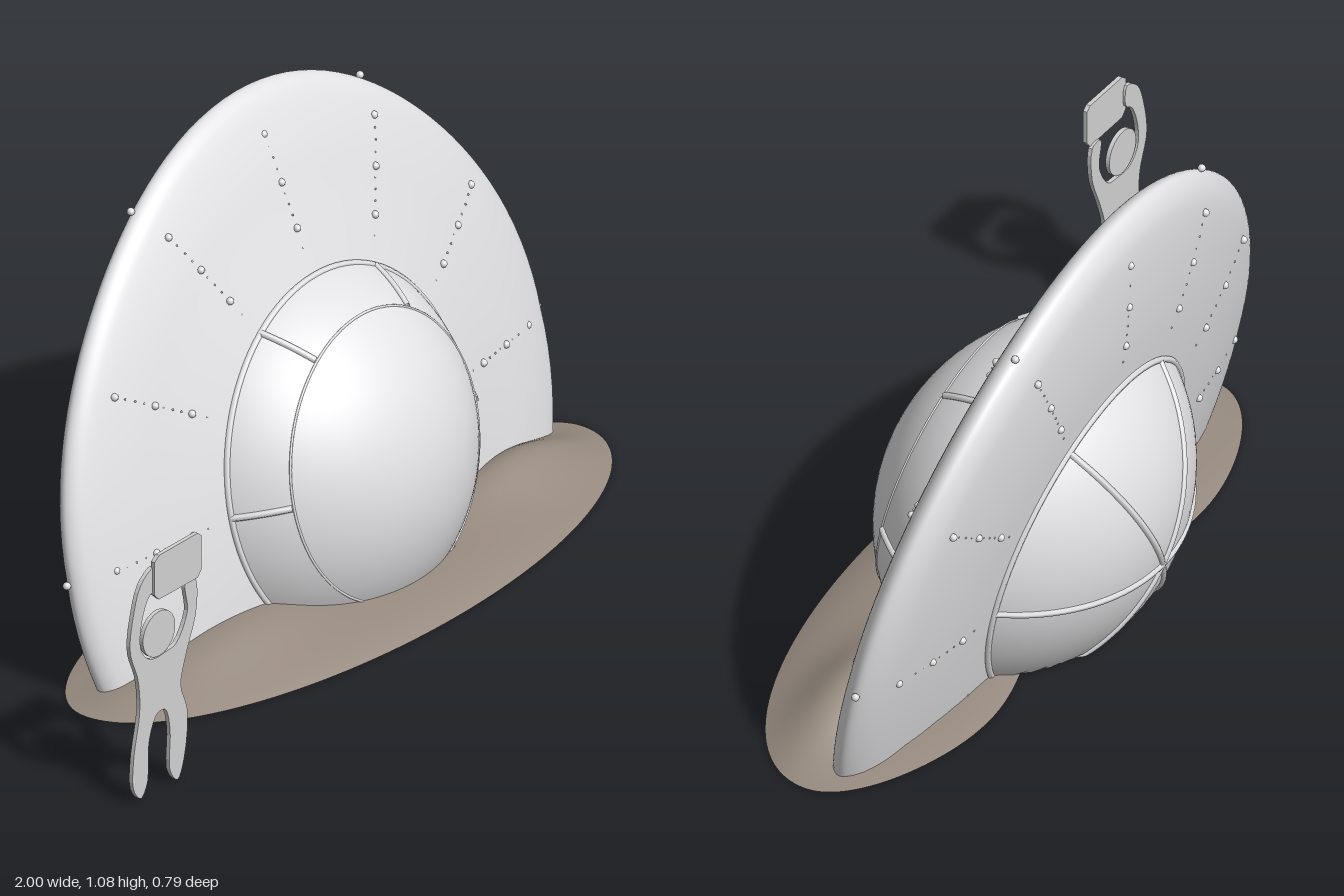
import * as THREE from 'three';
import { mergeGeometries } from 'three/addons/utils/BufferGeometryUtils.js';

const metal = new THREE.MeshStandardMaterial({ name: 'paleMetal', color: 0xe2e2e4, side: THREE.DoubleSide });
const grey = new THREE.MeshStandardMaterial({ name: 'figureGrey', color: 0xd0d0d0, side: THREE.DoubleSide });
const earth = new THREE.MeshStandardMaterial({ name: 'earthBrown', color: 0x968a7f, side: THREE.DoubleSide });

// Saucer frame: local y is the saucer axis, leaning back and turned slightly aside
const TILT = 0.22, YAW = 0.045;
const place = new THREE.Matrix4().makeRotationY(YAW)
  .multiply(new THREE.Matrix4().makeRotationX(Math.PI / 2 - TILT)).setPosition(0.143, 0.29, 0);
const unplace = place.clone().invert();

const v2 = (a) => a.map(([r, s]) => new THREE.Vector2(r, s));

// Disc section from the back dome round the rim to the front dome
const FRONT_R = 0.408, BACK_R = 0.395;
const hull = new THREE.SplineCurve(v2([[BACK_R, -0.185], [0.51, -0.176], [0.62, -0.161], [0.724, -0.14], [0.78, -0.12],
  [0.812, -0.09], [0.8, -0.062], [0.76, -0.042], [0.67, -0.018], [0.56, 0.002], [FRONT_R, 0.03]])).getPoints(60);
const rimIndex = hull.reduce((best, p, i) => p.x > hull[best].x ? i : best, 0);
const hullBack = hull.slice(0, rimIndex + 1), hullFront = hull.slice(rimIndex);

// Height along the axis of a spherical cap with the given base radius
const cap = (base, rise) => {
  const R = (base * base + rise * rise) / (2 * rise);
  return (r) => Math.sqrt(R * R - r * r) - (R - rise);
};
const frontCap = cap(FRONT_R, 0.24), backCap = cap(BACK_R, 0.2);
const along = (pts, r) => pts.reduce((best, p) => Math.abs(p.x - r) < Math.abs(best.x - r) ? p : best).y;
const frontAt = (r) => r < FRONT_R ? 0.03 + frontCap(r) : along(hullFront, r);
const backAt = (r) => r < BACK_R ? -0.185 - backCap(r) : along(hullBack, r);

// Tilt into place and cut away everything below the ground
function settle(geometry) {
  const g = geometry.index ? geometry.toNonIndexed() : geometry;
  g.applyMatrix4(place);
  const p = g.attributes.position, n = g.attributes.normal, pos = [], nor = [];
  for (let i = 0; i < p.count; i += 3) {
    if (Math.max(p.getY(i), p.getY(i + 1), p.getY(i + 2)) <= 0.001) continue;
    for (let k = i; k < i + 3; k++) {
      pos.push(p.getX(k), Math.max(0, p.getY(k)), p.getZ(k));
      nor.push(n.getX(k), n.getY(k), n.getZ(k));
    }
  }
  const out = new THREE.BufferGeometry();
  out.setAttribute('position', new THREE.Float32BufferAttribute(pos, 3));
  out.setAttribute('normal', new THREE.Float32BufferAttribute(nor, 3));
  return out;
}

function add(group, name, geometry, material = metal) {
  const mesh = new THREE.Mesh(geometry, material);
  mesh.name = name;
  group.add(mesh);
}

// Dented rim: slightly squared off, and splayed towards the ground
const dent = (x, z) => {
  const r = Math.hypot(x, z);
  const amount = 0.017 * Math.cos(4 * Math.atan2(z, x)) + 0.08 * Math.max(0, z / r);
  return 1 + amount * THREE.MathUtils.smoothstep(r, 0.55, 0.8);
};

function makeHull() {
  const g = new THREE.LatheGeometry(hull, 120);
  const p = g.attributes.position;
  for (let i = 0; i < p.count; i++) {
    const x = p.getX(i), z = p.getZ(i), k = dent(x, z);
    p.setX(i, x * k);
    p.setZ(i, z * k);
  }
  return settle(g);
}

function makeDome(base, heightAt, side) {
  const pts = [];
  for (let i = 0; i <= 24; i++) {
    const r = base * Math.sin(i / 24 * Math.PI / 2);
    pts.push(new THREE.Vector2(r, heightAt(Math.min(r, base - 1e-4))));
  }
  if (side > 0) pts.reverse();
  return settle(new THREE.LatheGeometry(pts, 96));
}

const polar = (r, angle, s) => new THREE.Vector3(r * Math.cos(angle), s, -r * Math.sin(angle));

// Ribs following a dome from one radius to another
function makeRibs(from, to, heightAt) {
  const ribs = [];
  for (let i = 0; i < 6; i++) {
    const pts = [];
    for (let k = 0; k <= 8; k++) {
      const r = from + (to - from) * k / 8;
      pts.push(polar(r, i * Math.PI / 3, heightAt(r)));
    }
    ribs.push(new THREE.TubeGeometry(new THREE.CatmullRomCurve3(pts), 20, 0.008, 6));
  }
  return settle(mergeGeometries(ribs));
}

function makeRing(radius, s, thickness) {
  const g = new THREE.TorusGeometry(radius, thickness, 6, 96);
  g.rotateX(Math.PI / 2).translate(0, s, 0);
  return settle(g);
}

// Twelve rows of rivets on both faces, with larger knobs between the small studs
function makeRivets() {
  const parts = [];
  const stud = (r, angle, s, size) => {
    const c = polar(r, angle, s);
    if (c.clone().applyMatrix4(place).y < 0.02) return;
    const g = size > 0.006 ? new THREE.SphereGeometry(size, 10, 8) : new THREE.SphereGeometry(size, 6, 4);
    parts.push(g.translate(c.x, c.y, c.z));
  };
  for (let i = 0; i < 12; i++) {
    const a = i * Math.PI / 6;
    for (const at of [frontAt, backAt]) {
      for (const r of [0.515, 0.62, 0.73]) stud(r, a, at(r), 0.009);
      for (const r of [0.47, 0.545, 0.57, 0.595, 0.65, 0.677, 0.703]) stud(r, a, at(r), 0.0025);
    }
    const rim = polar(0.82, a, 0);
    if (i % 2 === 0) stud(0.82 * dent(rim.x, rim.z), a, -0.09, 0.009);
  }
  return settle(mergeGeometries(parts));
}

// Lumpy bank of earth, open where the saucer has sunk into it and notched behind the back dome
function makeMound() {
  const RINGS = 56, SEGS = 160, pos = [], idx = [];
  const bump = (x, z, cx, cz, w, d) => Math.exp(-(((x - cx) / w) ** 2) - ((z - cz) / d) ** 2);
  const inside = (x, y, z) => {
    const local = new THREE.Vector3(x, y, z).applyMatrix4(unplace);
    const r = Math.hypot(local.x, local.z), s = local.y;
    // earth stays between the two domes
    if (r < 0.4 && s < 0.08) return false;
    return r < 0.8 && s < frontAt(r) - 0.014 && s > backAt(r) + 0.014;
  };
  for (let i = 0; i <= RINGS; i++) for (let j = 0; j < SEGS; j++) {
    const q = i / RINGS, a = j / SEGS * Math.PI * 2;
    const x = 0.13 + 0.87 * q * Math.cos(a);
    const depth = Math.sin(a) > 0 ? 0.34 : 0.28 * (1 - 0.55 * Math.exp(-(((x - 0.14) / 0.33) ** 2)));
    const z = 0.012 + q * (depth * Math.sin(a) - 0.025 * Math.cos(a));
    const base = 0.025 + 0.022 * THREE.MathUtils.smoothstep(z, -0.08, 0.08);
    const h = (1 - q ** 4) * (base + 0.068 * bump(x, z, 0.74, 0.07, 0.25, 0.1) + 0.04 * bump(x, z, -0.32, 0.1, 0.3, 0.11));
    pos.push(x, h + 0.002, z);
  }
  const hidden = (...ids) => ids.every((k) => inside(pos[3 * k], pos[3 * k + 1], pos[3 * k + 2]));
  for (let i = 0; i < RINGS; i++) for (let j = 0; j < SEGS; j++) {
    const a = i * SEGS + j, b = i * SEGS + (j + 1) % SEGS, c = a + SEGS, d = b + SEGS;
    if (!hidden(a, b, c, d)) idx.push(a, b, c, b, d, c);
  }
  const g = new THREE.BufferGeometry();
  g.setAttribute('position', new THREE.Float32BufferAttribute(pos, 3));
  g.setIndex(idx);
  g.computeVertexNormals();
  return g;
}

// Flat cut-out figure holding a board above its head
function makeFigure() {
  const group = new THREE.Group();
  group.name = 'cutoutFigure';
  const slab = (shape, z, depth) => new THREE.ExtrudeGeometry(shape, { depth, bevelEnabled: false, curveSegments: 20 }).translate(0, 0, z);
  const outline = [[-0.92, 0.55], [-0.963, 0.525], [-0.99, 0.455], [-1, 0.375], [-0.973, 0.295], [-0.968, 0.215],
    [-0.988, 0.11], [-0.988, 0.035], [-0.963, 0.005], [-0.942, 0.035], [-0.936, 0.135], [-0.909, 0.19],
    [-0.882, 0.19], [-0.866, 0.135], [-0.866, 0.035], [-0.84, 0.003], [-0.818, 0.05], [-0.808, 0.16],
    [-0.83, 0.23], [-0.813, 0.295], [-0.778, 0.39], [-0.782, 0.47], [-0.815, 0.47], [-0.808, 0.4],
    [-0.845, 0.337], [-0.877, 0.33], [-0.93, 0.33], [-0.963, 0.364], [-0.963, 0.422], [-0.94, 0.48], [-0.915, 0.5]];
  const body = new THREE.CatmullRomCurve3(outline.map(([x, y]) => new THREE.Vector3(x, y, 0)), true, 'centripetal');
  add(group, 'body', slab(new THREE.Shape(body.getPoints(120).slice(0, -1).map((p) => new THREE.Vector2(p.x, p.y))), 0.376, 0.01), grey);
  add(group, 'head', slab(new THREE.Shape().absarc(-0.904, 0.383, 0.054, 0, Math.PI * 2), 0.377, 0.01), grey);
  const board = new THREE.Shape(v2([[-0.925, 0.485], [-0.91, 0.47], [-0.78, 0.472], [-0.768, 0.487],
    [-0.768, 0.57], [-0.78, 0.58], [-0.91, 0.577], [-0.925, 0.565]]));
  add(group, 'board', slab(board, 0.382, 0.01), grey);
  return group;
}

export function createModel() {
  const model = new THREE.Group();
  model.name = 'crashedSaucer';
  const saucer = new THREE.Group();
  saucer.name = 'saucer';
  add(saucer, 'discHull', makeHull());
  add(saucer, 'frontDome', makeDome(FRONT_R, frontAt, 1));
  add(saucer, 'backDome', makeDome(BACK_R, backAt, -1));
  add(saucer, 'frontDomeRibs', makeRibs(0.325, 0.406, frontAt));
  add(saucer, 'backDomeRibs', makeRibs(0, 0.393, backAt));
  add(saucer, 'frontBaseRing', makeRing(0.405, 0.032, 0.008));
  add(saucer, 'frontCapRing', makeRing(0.322, frontAt(0.322), 0.003));
  add(saucer, 'backBaseRing', makeRing(0.395, -0.186, 0.008));
  add(saucer, 'rivets', makeRivets());
  model.add(saucer);
  add(model, 'earthMound', makeMound(), earth);
  model.add(makeFigure());
  return model;
}
